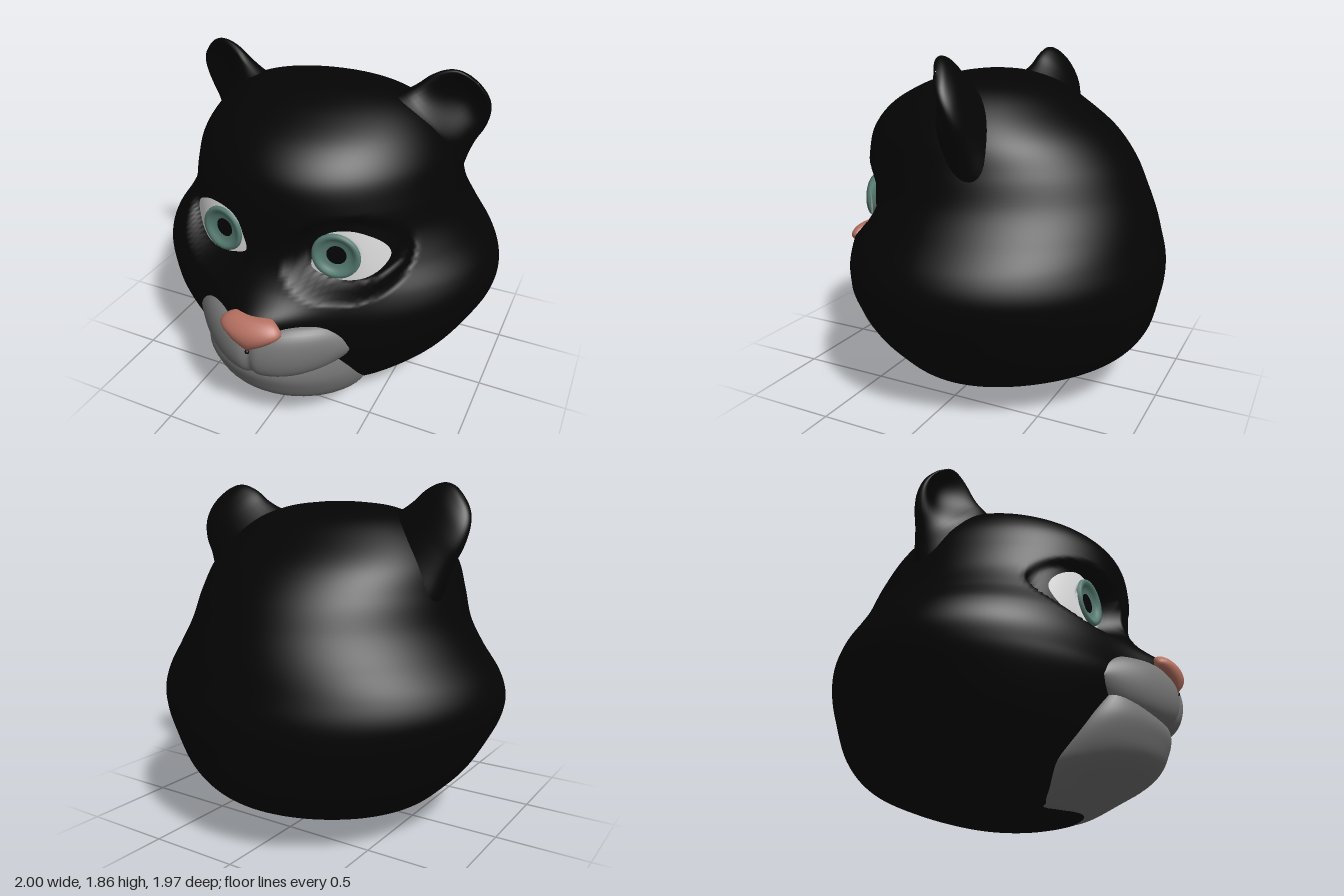
import * as THREE from 'three';
import { mergeVertices } from 'three/addons/utils/BufferGeometryUtils.js';

const mat = (name, color) => new THREE.MeshStandardMaterial({ name, color });

// Smooth surface from a rule point(u, v) -> [x, y, z]; u runs round, v runs along
function surface(nu, nv, point) {
  const pos = [], idx = [];
  for (let j = 0; j <= nv; j++)
    for (let i = 0; i <= nu; i++) pos.push(...point(i / nu, j / nv));
  for (let j = 0; j < nv; j++)
    for (let i = 0; i < nu; i++) {
      const a = j * (nu + 1) + i, b = a + 1, c = a + nu + 1, d = c + 1;
      idx.push(a, b, d, a, d, c);
    }
  const g = new THREE.BufferGeometry();
  g.setAttribute('position', new THREE.Float32BufferAttribute(pos, 3));
  g.setIndex(idx);
  const merged = mergeVertices(g, 1e-5);
  merged.computeVertexNormals();
  return merged;
}

// Catmull-Rom through rows of numbers, t in 0..1
function sample(rows, t) {
  const n = rows.length - 1, f = Math.min(Math.max(t, 0), 1) * n;
  const i = Math.min(Math.floor(f), n - 1), k = f - i;
  const r = (j) => rows[Math.min(Math.max(j, 0), n)];
  const [a, b, c, d] = [r(i - 1), r(i), r(i + 1), r(i + 2)];
  return b.map((_, m) => 0.5 * (2 * b[m] + (c[m] - a[m]) * k
    + (2 * a[m] - 5 * b[m] + 4 * c[m] - d[m]) * k * k
    + (3 * b[m] - a[m] - 3 * c[m] + d[m]) * k ** 3));
}

// Finds the t at which the first column of the rows reaches y
function findT(rows, y) {
  let lo = 0, hi = 1;
  for (let i = 0; i < 30; i++) {
    const m = (lo + hi) / 2;
    if (sample(rows, m)[0] < y) lo = m; else hi = m;
  }
  return lo;
}

// Head sections: height, half width, front z, back z, z of the widest point, snout bulge
const HEAD = [
  [0, 0.0005, 0.0905, 0.0895, 0.09, 0], [0.006, 0.19, 0.35, -0.17, 0.05, 0],
  [0.045, 0.4, 0.43, -0.36, 0, 0], [0.12, 0.57, 0.52, -0.59, -0.03, 0],
  [0.22, 0.69, 0.62, -0.8, -0.05, 0], [0.36, 0.82, 0.71, -0.92, -0.05, 0],
  [0.55, 0.935, 0.78, -0.97, -0.05, 0.02], [0.66, 0.985, 0.775, -0.985, -0.05, 0.12],
  [0.76, 0.998, 0.765, -0.98, -0.05, 0.14], [0.87, 0.96, 0.74, -0.955, -0.05, 0.04],
  [1.0, 0.865, 0.705, -0.925, -0.05, 0], [1.14, 0.78, 0.7, -0.875, -0.05, 0],
  [1.3, 0.735, 0.71, -0.8, -0.05, 0], [1.45, 0.69, 0.68, -0.68, -0.05, 0],
  [1.58, 0.6, 0.57, -0.51, -0.04, 0], [1.68, 0.475, 0.39, -0.355, -0.02, 0],
  [1.74, 0.31, 0.22, -0.18, 0, 0], [1.762, 0.12, 0.09, -0.06, 0.01, 0],
  [1.765, 0.0005, 0.0105, 0.0095, 0.01, 0],
];

// Depth of the eye surface, turning back towards the temples
const eyeZ = (x, y) => 0.592 - 2.6 * Math.max(0, x - 0.19) ** 3 - 0.3 * (y - 1.05) ** 2;

// Front of the head at x for one section, with snout bulge and eye sockets
function frontZ(x, [y, w, f, , c, m]) {
  const ax = Math.abs(x);
  const z = c + (f - c) * Math.max(0, 1 - (x / w) ** 2) ** 0.53
    + m * Math.exp(-((x / 0.22) ** 2));
  const r = Math.hypot((ax - 0.38) / 0.21, (y - 1.05) / 0.16);
  const mask = 1 - THREE.MathUtils.smoothstep(r, 1.06, 1.42);
  return z + mask * Math.min(0, eyeZ(ax, y) - 0.035 - z);
}
const headZ = (x, y) => frontZ(x, sample(HEAD, findT(HEAD, y)));

function headGeometry() {
  return surface(176, 144, (u, v) => {
    const s = sample(HEAD, v), a = u * Math.PI * 2;
    const x = s[1] * Math.sin(a), k = Math.cos(a);
    return [x, s[0], k >= 0 ? frontZ(x, s) : s[4] + (s[3] - s[4]) * (-k) ** 1.04];
  });
}

// Ear: rings along a slanting axis; row = distance, half width, thickness, z
const EAR = [
  [-0.16, 0.32, 0.2, -0.08], [-0.06, 0.28, 0.17, -0.085], [0.02, 0.242, 0.14, -0.095],
  [0.1, 0.214, 0.112, -0.105], [0.18, 0.198, 0.09, -0.11], [0.25, 0.168, 0.07, -0.11],
  [0.298, 0.128, 0.05, -0.105], [0.325, 0.075, 0.032, -0.1], [0.335, 0.002, 0.002, -0.1],
];
function earGeometry(side) {
  return surface(40, 32, (u, v) => {
    const [t, w, d, zc] = sample(EAR, v), a = u * Math.PI * 2 * side;
    const s = w * Math.sin(a) + 0.02 - 0.13 * t, k = Math.cos(a);
    const hollow = k > 0 ? 1.2 * d * k ** 3 * Math.max(0, Math.sin((v - 0.3) * Math.PI / 0.7)) : 0;
    return [side * (0.56 + 0.73 * t + 0.68 * s), 1.55 + 0.68 * t - 0.73 * s,
      zc + d * k - hollow - 0.35 * s];
  });
}

// Upper lip: sections across the face; row = x, top y, bottom y
const LIP = [
  [0, 0.69, 0.41], [0.08, 0.715, 0.41], [0.16, 0.728, 0.413], [0.25, 0.728, 0.428],
  [0.34, 0.715, 0.455], [0.41, 0.68, 0.497], [0.44, 0.64, 0.525], [0.453, 0.58, 0.565],
];
function lipGeometry() {
  return surface(40, 64, (u, v) => {
    const q = 1 - 2 * v, a = u * Math.PI * 2;
    const [ax, top, bottom] = sample(LIP, Math.abs(q));
    const x = ax * Math.sign(q), k = Math.cos(a);
    const face = 0.96 - 1.4 * x * x - 0.018 * Math.exp(-((x / 0.025) ** 2));
    return [x, (top + bottom) / 2 + (top - bottom) / 2 * Math.sin(a),
      face - 0.15 + 0.15 * Math.sign(k) * Math.abs(k) ** 0.65];
  });
}

// Chin: row = height, half width, front z
const CHIN = [
  [0.018, 0.004, 0.34], [0.02, 0.2, 0.395], [0.035, 0.25, 0.435], [0.06, 0.3, 0.485],
  [0.12, 0.375, 0.6], [0.18, 0.425, 0.74], [0.24, 0.44, 0.82], [0.32, 0.44, 0.86],
  [0.4, 0.425, 0.88], [0.48, 0.39, 0.85], [0.54, 0.35, 0.78],
];
function chinGeometry() {
  return surface(48, 40, (u, v) => {
    const [y, w, f] = sample(CHIN, v), a = u * Math.PI * 2;
    const b = headZ(w, y), k = Math.cos(a);
    return [w * Math.sin(a), y, b + (k > 0 ? (f - b) * k ** 1.15 : 0.06 * k)];
  });
}

// Nose: row = height, half width, front z, z of the wings
const NOSE = [
  [0.603, 0.004, 0.945, 0.9], [0.635, 0.07, 0.965, 0.9], [0.675, 0.13, 0.98, 0.9],
  [0.715, 0.17, 0.978, 0.895], [0.75, 0.155, 0.957, 0.89], [0.775, 0.115, 0.925, 0.88],
  [0.782, 0.06, 0.9, 0.87], [0.782, 0.004, 0.87, 0.86],
];
function noseGeometry() {
  return surface(32, 28, (u, v) => {
    const [y, w, f, b] = sample(NOSE, v), a = u * Math.PI * 2, k = Math.cos(a);
    return [w * Math.sin(a), y, b + k * (k > 0 ? f - b : 0.05)];
  });
}

// Eye white: a curved almond set into the socket, hollow behind the iris
const IRIS = { x: 0.327, y: 1.05 };
const EYE = new THREE.CatmullRomCurve3([
  [0.567, 1.055], [0.53, 1.13], [0.42, 1.19], [0.31, 1.18], [0.24, 1.13],
  [0.205, 1.04], [0.193, 0.95], [0.27, 0.918], [0.375, 0.908], [0.47, 0.928], [0.535, 0.98],
].map(([x, y]) => new THREE.Vector3(x, y, 0)), true);
function eyeGeometry(side) {
  return surface(48, 20, (u, v) => {
    const p = EYE.getPoint((side * u + 1) % 1), r = 1 - v;
    const x = 0.35 + (p.x - 0.35) * r, y = 1.05 + (p.y - 1.05) * r;
    const d = Math.hypot(x - IRIS.x, y - IRIS.y);
    return [side * x, y, eyeZ(x, y) - 0.03 * (1 - THREE.MathUtils.smoothstep(d, 0.07, 0.115))];
  });
}

export function createModel() {
  const model = new THREE.Group();
  model.name = 'bigCatHead';
  const black = mat('blackFur', 0x040404);
  const grey = mat('greyMuzzle', 0x757575);
  const pink = mat('pinkNose', 0xb57061);
  const white = mat('eyeWhite', 0xe2e2e2);
  const green = mat('greenIris', 0x567c72);
  green.side = THREE.DoubleSide;

  const add = (name, geometry, material, parent = model) => {
    const m = new THREE.Mesh(geometry, material);
    m.name = name;
    parent.add(m);
    return m;
  };

  add('head', headGeometry(), black);
  add('upperLip', lipGeometry(), grey);
  add('chin', chinGeometry(), grey);
  add('nose', noseGeometry(), pink);
  add('noseCleft', new THREE.SphereGeometry(0.012, 12, 8), black).position.set(0, 0.598, 0.945);

  // Dished iris ring and pupil
  const irisProfile = [[0.045, -0.016], [0.07, -0.013], [0.092, -0.003], [0.103, 0.01],
    [0.122, 0.01], [0.127, -0.006]].map(([x, y]) => new THREE.Vector2(x, y));
  const iris = new THREE.LatheGeometry(irisProfile, 48).rotateX(Math.PI / 2);
  const pupil = new THREE.CircleGeometry(0.052, 32);

  for (const [side, name] of [[1, 'left'], [-1, 'right']]) {
    add(name + 'Ear', earGeometry(side), black);
    add(name + 'EyeWhite', eyeGeometry(side), white);
    const eye = new THREE.Group();
    eye.name = name + 'Iris';
    eye.position.set(side * IRIS.x, IRIS.y, eyeZ(IRIS.x, IRIS.y) + 0.009);
    eye.rotation.y = side * 0.17;
    add(name + 'IrisRing', iris, green, eye);
    add(name + 'Pupil', pupil, black, eye).position.z = -0.0135;
    model.add(eye);
  }
  return model;
}
